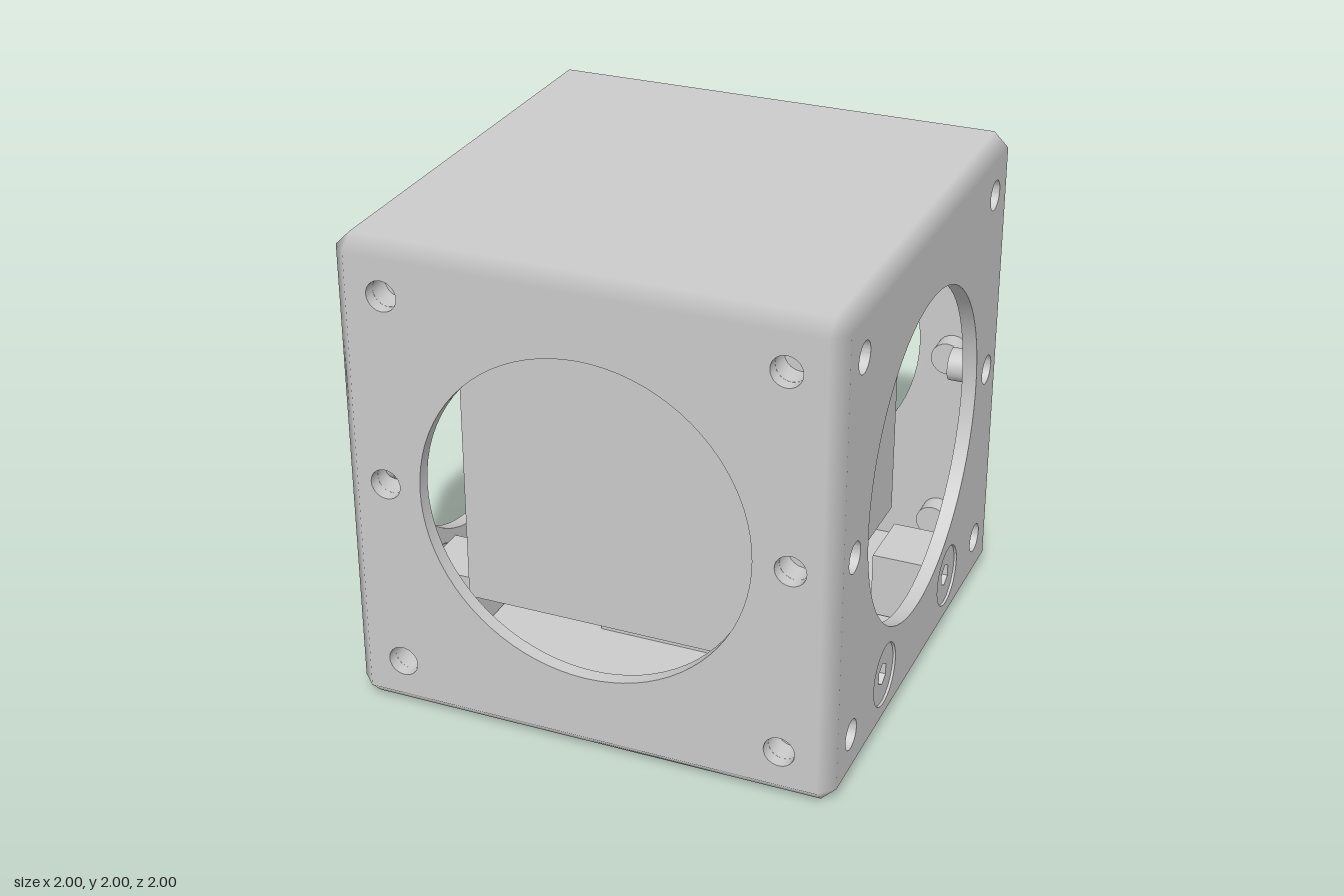
import * as THREE from 'three';
import { toCreasedNormals } from 'three/addons/utils/BufferGeometryUtils.js';

const C = 0.94;          // flat half-width inside the chamfers
const T = 0.06;          // wall thickness
const WINDOW_Y = 1.005, WINDOW_R = 0.672;
const PEGS = [[0.79, 1.79], [0.82, 1.0], [0.79, 0.21]];
const SCREW = { x: 0.4, y: 0.24, r: 0.13 };

const mat = new THREE.MeshStandardMaterial({ color: 0xcccccc, side: THREE.DoubleSide });

function add(parent, name, geo, x = 0, y = 0, z = 0) {
  const m = new THREE.Mesh(geo, mat);
  m.name = name;
  m.position.set(x, y, z);
  parent.add(m);
  return m;
}

function circle(x, y, r) {
  return new THREE.Path().absarc(x, y, r, 0, Math.PI * 2, true);
}

function rect(x0, y0, x1, y1) {
  return new THREE.Shape([[x0, y0], [x1, y0], [x1, y1], [x0, y1]].map(p => new THREE.Vector2(...p)));
}

function extrude(shape, depth, segs = 32) {
  const g = new THREE.ExtrudeGeometry(shape, { depth, bevelEnabled: false, curveSegments: segs });
  return toCreasedNormals(g, 0.6);
}

// Chamfer strips and corner triangles, shaded softly from face to face
function chamferGeometry(ys) {
  const pos = [], nor = [];
  // point on the face of the given axis, at the corner with signs s
  const point = (s, axis) => ({
    p: new THREE.Vector3(...s.map((v, i) => v * (i === axis ? 1 : C))),
    n: new THREE.Vector3(...s.map((v, i) => (i === axis ? v : 0))),
  });
  const tri = (a, b, c) => {
    const face = b.p.clone().sub(a.p).cross(c.p.clone().sub(a.p));
    const out = a.n.clone().add(b.n).add(c.n);
    for (const v of face.dot(out) < 0 ? [a, c, b] : [a, b, c]) {
      pos.push(v.p.x, v.p.y + 1, v.p.z);
      nor.push(v.n.x, v.n.y, v.n.z);
    }
  };
  const strip = (s0, s1, i, j) => {
    const [a, b, c, d] = [point(s0, i), point(s0, j), point(s1, i), point(s1, j)];
    tri(a, b, c);
    tri(b, d, c);
  };
  for (const sy of ys) {
    for (const a of [-1, 1]) {
      strip([-1, sy, a], [1, sy, a], 1, 2);
      strip([a, sy, -1], [a, sy, 1], 0, 1);
      for (const b of [-1, 1]) {
        const s = [a, sy, b];
        tri(point(s, 0), point(s, 1), point(s, 2));
        if (sy > 0) strip([a, -1, b], s, 0, 2);
      }
    }
  }
  const g = new THREE.BufferGeometry();
  g.setAttribute('position', new THREE.Float32BufferAttribute(pos, 3));
  g.setAttribute('normal', new THREE.Float32BufferAttribute(nor, 3));
  return g;
}

// One side wall facing +z, with window, blind peg holes and optional screws
function createWall(hasScrews) {
  const wall = new THREE.Group();
  const shape = rect(-C, 0.06, C, 1.94);
  shape.holes.push(circle(0, WINDOW_Y, WINDOW_R));
  for (const side of [-1, 1]) {
    for (const [x, y] of PEGS) {
      shape.holes.push(circle(side * x, y, 0.062));
      // closed cup behind each hole
      const cup = new THREE.LatheGeometry(
        [[0, 0], [0.07, 0], [0.07, 0.1], [0.062, 0.1], [0.062, 0.01], [0, 0.01]]
          .map(p => new THREE.Vector2(...p)), 20);
      add(wall, 'pegSocket', toCreasedNormals(cup, 0.6), side * x, y, 0.85).rotation.x = Math.PI / 2;
    }
    if (hasScrews) {
      const { x, y, r } = SCREW;
      shape.holes.push(circle(side * x, y, r));
      const head = new THREE.Shape().absarc(0, 0, r - 0.002, 0, Math.PI * 2, false);
      const hex = [0, 1, 2, 3, 4, 5].map(i => {
        const a = -(i + 0.5) * Math.PI / 3;
        return new THREE.Vector2(0.048 * Math.cos(a), 0.048 * Math.sin(a));
      });
      head.holes.push(new THREE.Path(hex));
      add(wall, 'screwHead', extrude(head, 0.05), side * x, y, 0.94);
      add(wall, 'screwLug', new THREE.BoxGeometry(0.28, 0.28, 0.22), side * x, 0.21, 0.83);
    }
  }
  add(wall, 'wallPanel', extrude(shape, T, 40), 0, 0, 1 - T);
  return wall;
}

export function createModel() {
  const model = new THREE.Group();
  model.name = 'windowedBox';

  // Four walls; the two side walls carry the lid screws
  ['frontWall', 'leftWall', 'backWall', 'rightWall'].forEach((name, i) => {
    const wall = createWall(i % 2 === 1);
    wall.name = name;
    wall.rotation.y = i * Math.PI / 2;
    model.add(wall);
  });

  // Roof and chamfered edges
  add(model, 'roof', new THREE.BoxGeometry(2 * C, T, 2 * C), 0, 2 - T / 2, 0);
  add(model, 'bodyChamfers', chamferGeometry([1]));
  add(model, 'baseChamfers', chamferGeometry([-1]));

  // Base plate with a small blind hole at its centre
  const plate = rect(-C, -C, C, C);
  plate.holes.push(circle(0, 0, 0.045));
  add(model, 'basePlate', extrude(plate, T), 0, T, 0).rotation.x = Math.PI / 2;

  // Solid inner cube on its pedestal
  add(model, 'pedestal', new THREE.BoxGeometry(0.54, 0.29, 0.54), 0, 0.205, 0);
  add(model, 'innerCube', new THREE.BoxGeometry(1.33, 1.34, 1.33), 0, 1.02, 0);
  return model;
}
